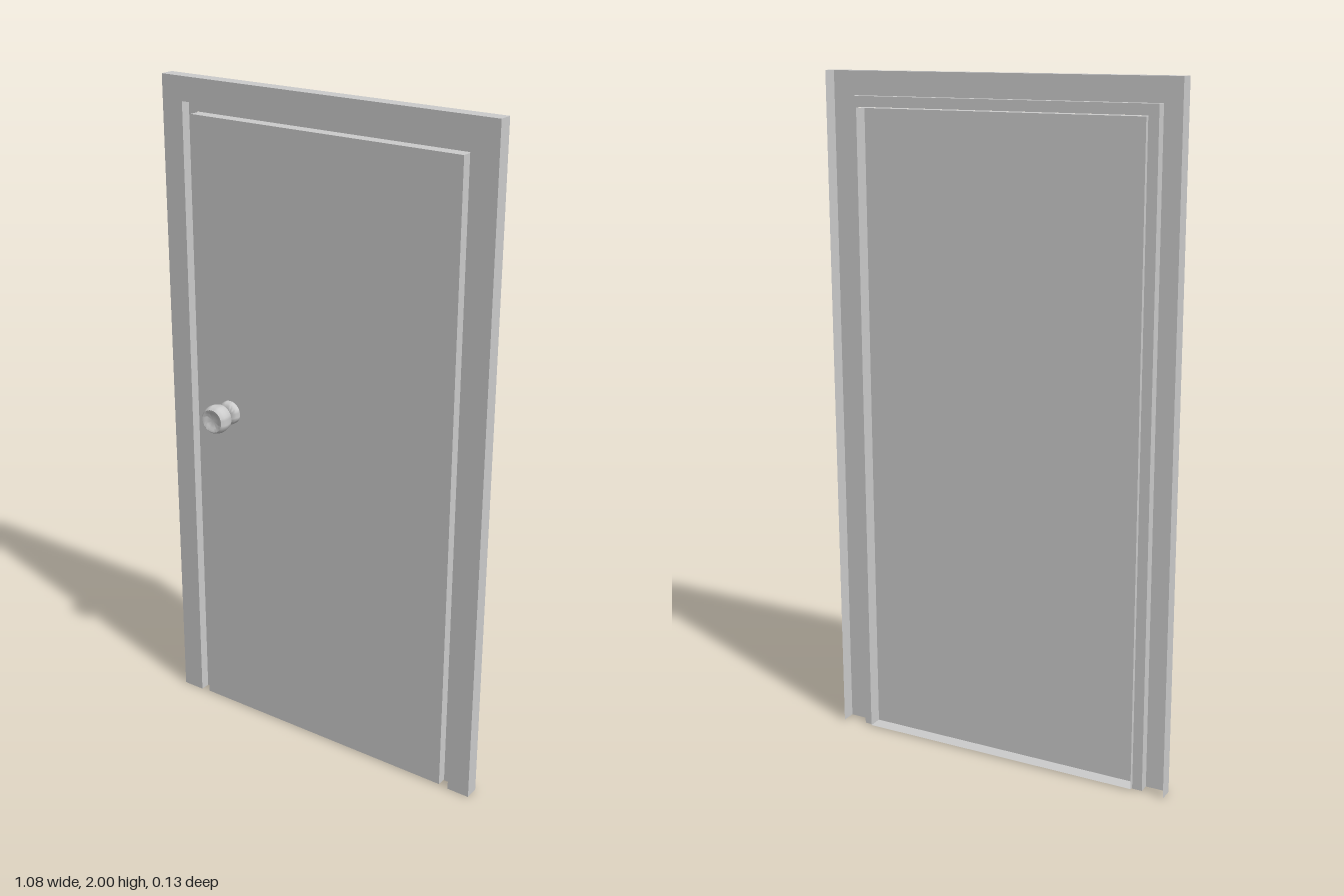
import * as THREE from 'three';
import { toCreasedNormals } from 'three/addons/utils/BufferGeometryUtils.js';

const BACK = -0.067, FRONT = -0.024, GROOVE = -0.054;
const grey = new THREE.MeshStandardMaterial({ color: 0xcccccc, side: THREE.DoubleSide });

function addMesh(group, name, geometry) {
  const mesh = new THREE.Mesh(geometry, grey);
  mesh.name = name;
  group.add(mesh);
  return mesh;
}

// Sweeps a section of [half width, top height, z] points up one jamb,
// across the head and down the other jamb.
function frameSweep(section) {
  const rings = section.map(([w, h, z]) => [[-w, 0, z], [-w, h, z], [w, h, z], [w, 0, z]]);
  const positions = [];
  for (let i = 0; i < rings.length - 1; i++) {
    for (let j = 0; j < 3; j++) {
      const a = rings[i][j], b = rings[i][j + 1], c = rings[i + 1][j + 1], d = rings[i + 1][j];
      positions.push(...a, ...d, ...b, ...b, ...d, ...c);
    }
  }
  const geometry = new THREE.BufferGeometry();
  geometry.setAttribute('position', new THREE.Float32BufferAttribute(positions, 3));
  geometry.computeVertexNormals();
  return geometry;
}

export function createModel() {
  const model = new THREE.Group();
  model.name = 'door';

  // Casing: outer edge, front face, then the groove around the door
  addMesh(model, 'doorFrame', frameSweep([
    [0.54, 2, BACK],
    [0.54, 2, FRONT],
    [0.47, 1.93, FRONT],
    [0.47, 1.93, GROOVE],
    [0.44, 1.9, GROOVE],
  ]));

  // Door leaf: a shallow tray, open at the back
  const bottom = 0.004, top = 1.898;
  const leaf = new THREE.BoxGeometry(0.88, top - bottom, FRONT - BACK);
  leaf.setIndex(Array.from(leaf.index.array).slice(0, 30));
  leaf.clearGroups();
  addMesh(model, 'doorLeaf', leaf).position.set(0, (top + bottom) / 2, (FRONT + BACK) / 2);

  // Knob parts turned around the z axis: [radius, z]
  const knob = new THREE.Group();
  knob.name = 'doorKnob';
  knob.position.set(-0.323, 1.025, 0);
  model.add(knob);
  const turned = {
    rose: [[0.036, FRONT], [0.036, -0.016], [0.033, -0.009], [0.026, -0.003], [0.017, -0.002]],
    neck: [[0.017, -0.003], [0.017, 0.006], [0.019, 0.012], [0.023, 0.021]],
    handle: [[0.02, 0.021], [0.039, 0.021], [0.042, 0.031], [0.0435, 0.043], [0.042, 0.053],
      [0.039, 0.061], [0.035, 0.065], [0.028, 0.064], [0.023, 0.06], [0, 0.058]],
  };
  for (const [name, profile] of Object.entries(turned)) {
    const lathe = new THREE.LatheGeometry(profile.map(([r, z]) => new THREE.Vector2(r, z)), 32);
    lathe.rotateX(Math.PI / 2);
    addMesh(knob, name, toCreasedNormals(lathe, 0.7));
  }

  return model;
}
